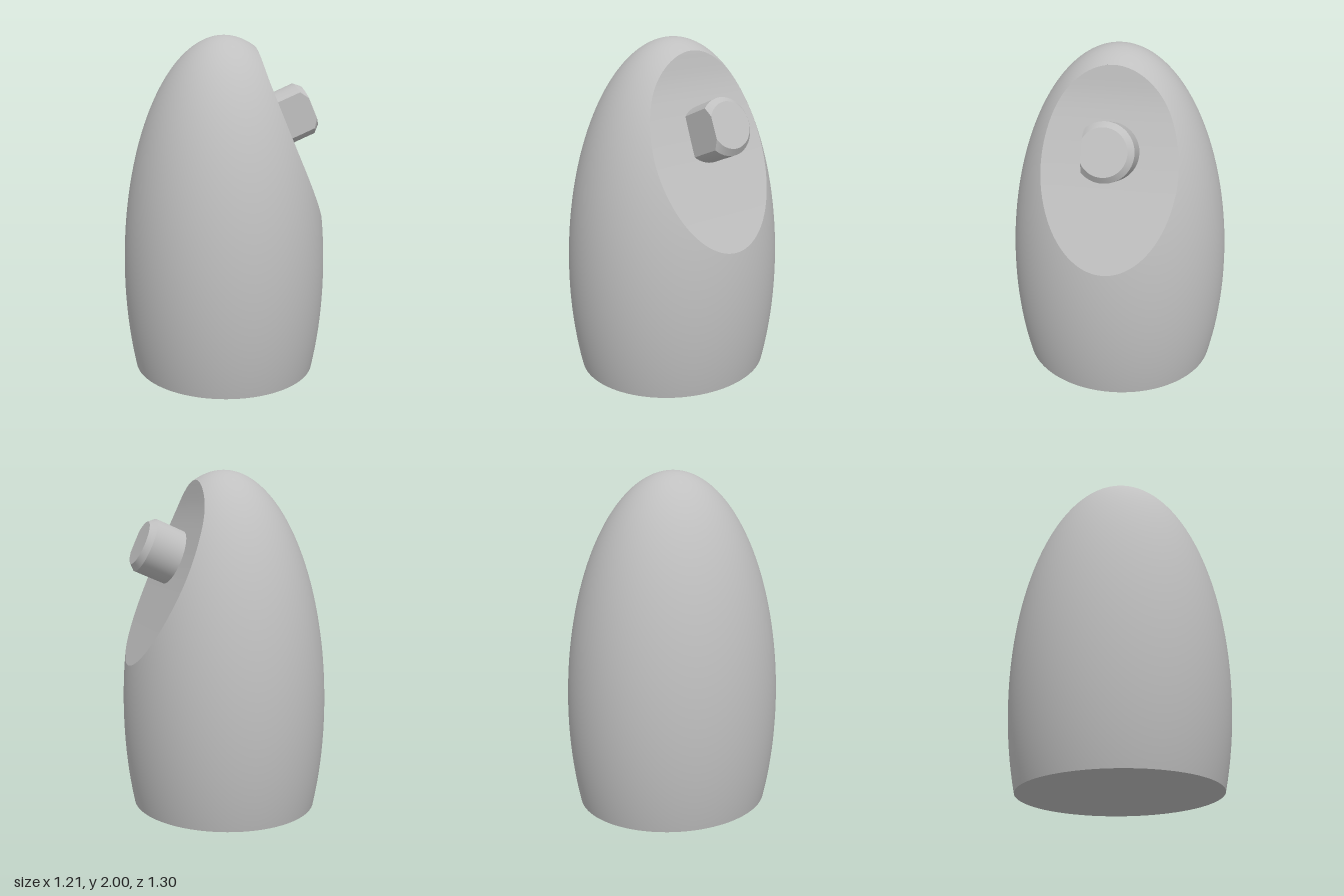
import * as THREE from 'three';
import { toCreasedNormals } from 'three/addons/utils/BufferGeometryUtils.js';

// Ellipsoid of the body: half sizes and centre height
const RX = 0.605, RY = 1.4, RZ = 0.65, CY = 0.6;
const scaleAt = y => Math.sqrt(Math.max(0, 1 - ((y - CY) / RY) ** 2));

// Surface through rows of points (all rows the same length)
function skin(rows) {
  const cols = rows[0].length, index = [];
  for (let i = 0; i < rows.length - 1; i++) {
    for (let j = 0; j < cols - 1; j++) {
      const a = i * cols + j, b = a + cols;
      index.push(a, b, a + 1, b, b + 1, a + 1);
    }
  }
  const g = new THREE.BufferGeometry().setFromPoints(rows.flat());
  g.setIndex(index);
  g.computeVertexNormals();
  return g;
}

const steps = (n, fn) => Array.from({ length: n + 1 }, (_, i) => fn(i / n));

export function createModel() {
  const group = new THREE.Group();
  const grey = new THREE.MeshStandardMaterial({ color: 0xc0c0c0 });
  grey.name = 'plain grey';
  const add = (name, geometry) => {
    const mesh = new THREE.Mesh(geometry, grey);
    mesh.name = name;
    group.add(mesh);
    return mesh;
  };

  // Side line of the cut face, from its lower to its upper end
  const low = 0.87, high = 1.94;
  const cutLine = new THREE.SplineCurve([
    [RX * scaleAt(low), low], [0.474, 1.12], [0.35, 1.39], [0.255, 1.63],
    [0.205, 1.785], [RX * scaleAt(high), high],
  ].map(p => new THREE.Vector2(...p)));

  // Levels of the body; each has the angle where the cut begins
  const cutLevels = steps(56, t => {
    const p = cutLine.getPoint((1 - Math.cos(Math.PI * t)) / 2);
    const start = Math.acos(Math.min(1, p.x / (RX * scaleAt(p.y))));
    return { y: p.y, x: p.x, start };
  });
  const phi = Math.asin((high - CY) / RY);
  const levels = [
    ...steps(14, t => ({ y: low * t, start: 0 })).slice(0, -1),
    ...cutLevels,
    ...steps(12, t => ({ y: CY + RY * Math.sin(phi + (Math.PI / 2 - phi) * t), start: 0 })).slice(1),
  ];

  // Rounded shell, open where it is cut
  const shell = skin(levels.map(({ y, start }) => steps(96, t => {
    const a = start + (2 * Math.PI - 2 * start) * t, s = scaleAt(y);
    return new THREE.Vector3(RX * s * Math.cos(a), y, RZ * s * Math.sin(a));
  })));
  const pos = shell.attributes.position, n = new THREE.Vector3();
  for (let i = 0; i < pos.count; i++) {
    n.set(pos.getX(i) / RX ** 2, (pos.getY(i) - CY) / RY ** 2, pos.getZ(i) / RZ ** 2).normalize();
    shell.attributes.normal.setXYZ(i, n.x, n.y, n.z);
  }
  add('bodyShell', shell);

  // Sloping cut face
  add('cutFace', skin(cutLevels.map(({ x, y, start }) => {
    const half = RZ * scaleAt(y) * Math.sin(start);
    return steps(8, t => new THREE.Vector3(x, y, half * (2 * t - 1)));
  })));

  // Flat underside
  const base = add('base', new THREE.CircleGeometry(1, 96));
  base.rotation.x = Math.PI / 2;
  base.scale.set(RX * scaleAt(0), RZ * scaleAt(0), 1);

  // Chamfered peg with one flat side facing the front
  const flat = 0.115;
  const pegRows = [[0, -0.35], [0.163, -0.35], [0.163, -0.035], [0.131, 0], [0, 0]].map(([r, y]) => {
    const edge = r ? Math.asin(flat / r) : 0;
    const row = steps(48, t => {
      const a = Math.PI - edge + (Math.PI + 2 * edge) * t;
      return new THREE.Vector3(r * Math.cos(a), y, r * Math.sin(a));
    });
    return [...row, row[0].clone()];
  });
  const peg = add('peg', toCreasedNormals(skin(pegRows), 0.4));
  peg.position.set(0.512, 1.58, 0);
  peg.rotation.z = 0.41 - Math.PI / 2;

  return group;
}
